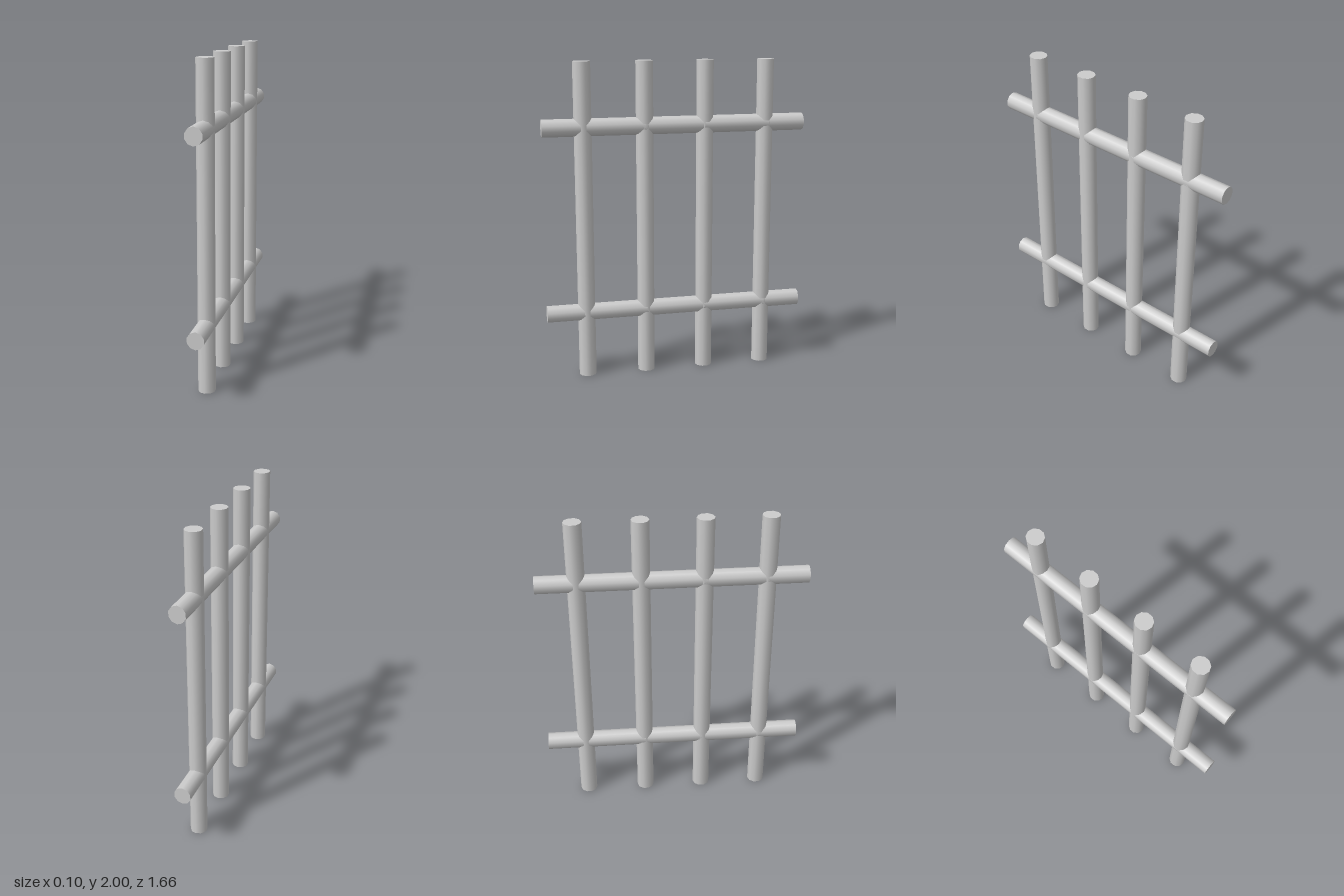
import * as THREE from 'three';

const RADIUS = 0.055;
const DEPTH = 0.0505; // half thickness along x

// Smooth ten-sided bar with corners on the z axis, slightly thinner in x
function makeBar(name, length, material) {
  const geometry = new THREE.CylinderGeometry(RADIUS, RADIUS, length, 10);
  geometry.scale(DEPTH / (RADIUS * Math.cos(Math.PI / 10)), 1, 1);
  const bar = new THREE.Mesh(geometry, material);
  bar.name = name;
  return bar;
}

export function createModel() {
  const group = new THREE.Group();
  group.name = 'barGrate';
  const material = new THREE.MeshStandardMaterial({ color: 0xcccccc });

  // Upright bars
  [0.578, 0.193, -0.191, -0.582].forEach((z, i) => {
    const bar = makeBar(`uprightBar${i + 1}`, 2, material);
    bar.position.set(0, 1, z);
    group.add(bar);
  });

  // Horizontal rails running along z
  [['lowerRail', 0.42], ['upperRail', 1.6]].forEach(([name, y]) => {
    const rail = makeBar(name, 1.66, material);
    rail.rotation.x = Math.PI / 2;
    rail.position.y = y;
    group.add(rail);
  });

  return group;
}
